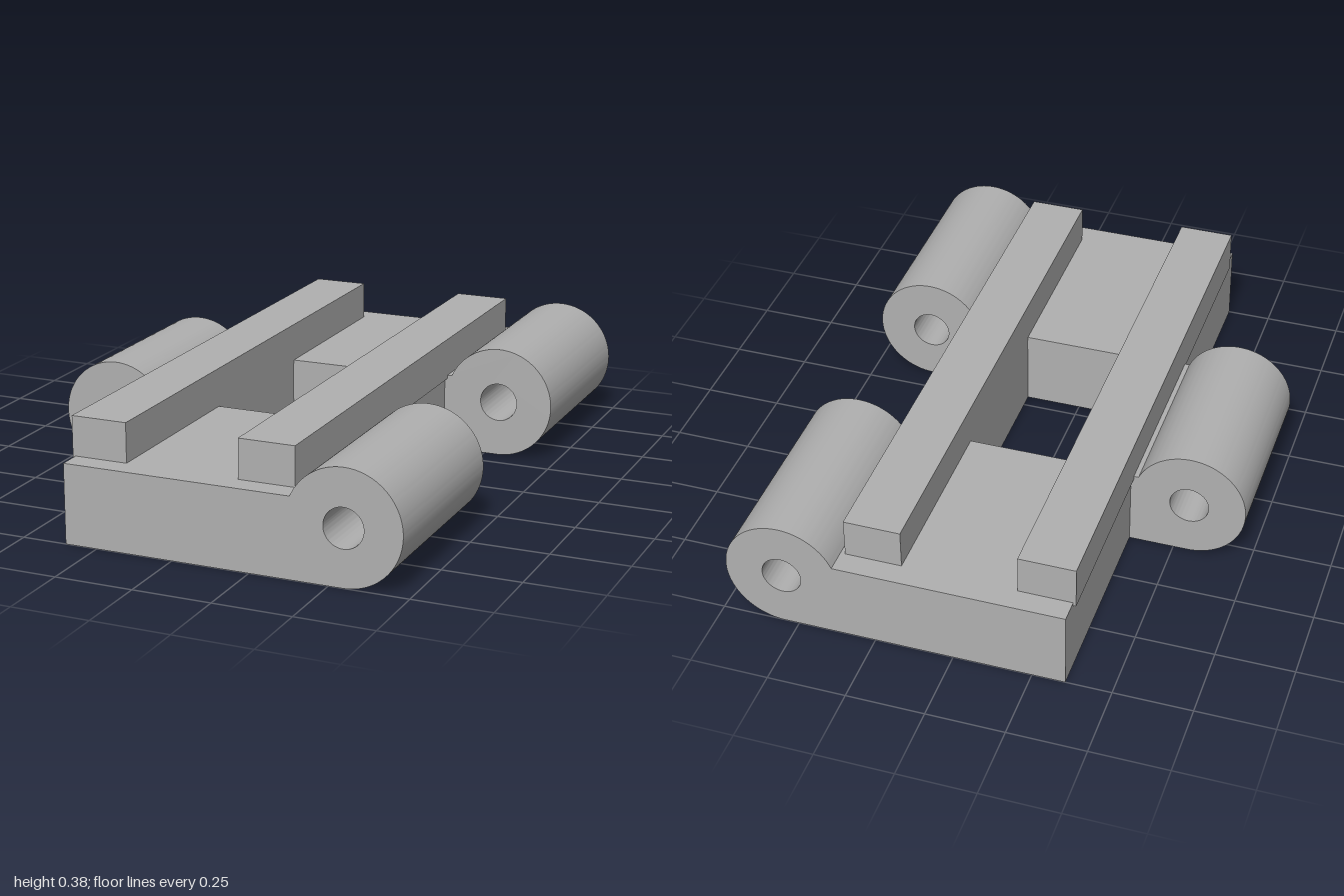
import * as THREE from 'three';
import { toCreasedNormals } from 'three/addons/utils/BufferGeometryUtils.js';

const EDGE = 0.355;      // half width of the plate
const TOP = 0.255;       // plate thickness
const PIN_X = 0.546;     // hinge axis
const R = 0.182;         // hinge barrel radius
const BORE = 0.063;

function rectangle(path, x, y) {
  path.moveTo(-x, -y);
  path.lineTo(x, -y);
  path.lineTo(x, y);
  path.lineTo(-x, y);
  path.closePath();
  return path;
}

// Hinge lug: a web that runs into a bored barrel, extruded along z
function lugGeometry(length) {
  const rise = Math.asin((TOP - R) / R);
  const shape = new THREE.Shape();
  shape.moveTo(EDGE, 0);
  shape.lineTo(PIN_X, 0);
  shape.absarc(PIN_X, R, R, -Math.PI / 2, Math.PI - rise, false);
  shape.lineTo(EDGE, TOP);
  shape.closePath();
  const bore = new THREE.Path();
  bore.absarc(PIN_X, R, BORE, 0, Math.PI * 2, true);
  shape.holes.push(bore);
  const geometry = new THREE.ExtrudeGeometry(shape, {
    depth: length, bevelEnabled: false, curveSegments: 48,
  });
  geometry.translate(0, 0, -length / 2);
  return toCreasedNormals(geometry, 0.5);
}

export function createModel() {
  const group = new THREE.Group();
  const steel = new THREE.MeshStandardMaterial({ color: 0xb0b0b0 });
  steel.name = 'grey steel';

  const add = (name, geometry, x = 0, y = 0, z = 0) => {
    const mesh = new THREE.Mesh(geometry, steel);
    mesh.name = name;
    mesh.position.set(x, y, z);
    group.add(mesh);
    return mesh;
  };

  // Base plate with a rectangular window
  const outline = rectangle(new THREE.Shape(), EDGE, 1);
  outline.holes.push(rectangle(new THREE.Path(), 0.184, 0.295));
  const plate = new THREE.ExtrudeGeometry(outline, { depth: TOP, bevelEnabled: false });
  plate.rotateX(-Math.PI / 2);
  add('basePlate', plate);

  // Two long rails, overhanging the plate edges slightly
  for (const side of [-1, 1]) {
    add(side > 0 ? 'leftRail' : 'rightRail',
      new THREE.BoxGeometry(0.181, 0.138, 1.85), side * 0.2735, 0.312, 0);
  }

  // Paired hinge lugs on one edge, a single lug between them on the other
  for (const end of [-1, 1]) {
    add(end > 0 ? 'frontHingeLug' : 'backHingeLug', lugGeometry(0.668), 0, 0, end * 0.666);
  }
  add('middleHingeLug', lugGeometry(0.62)).rotation.y = Math.PI;

  return group;
}
